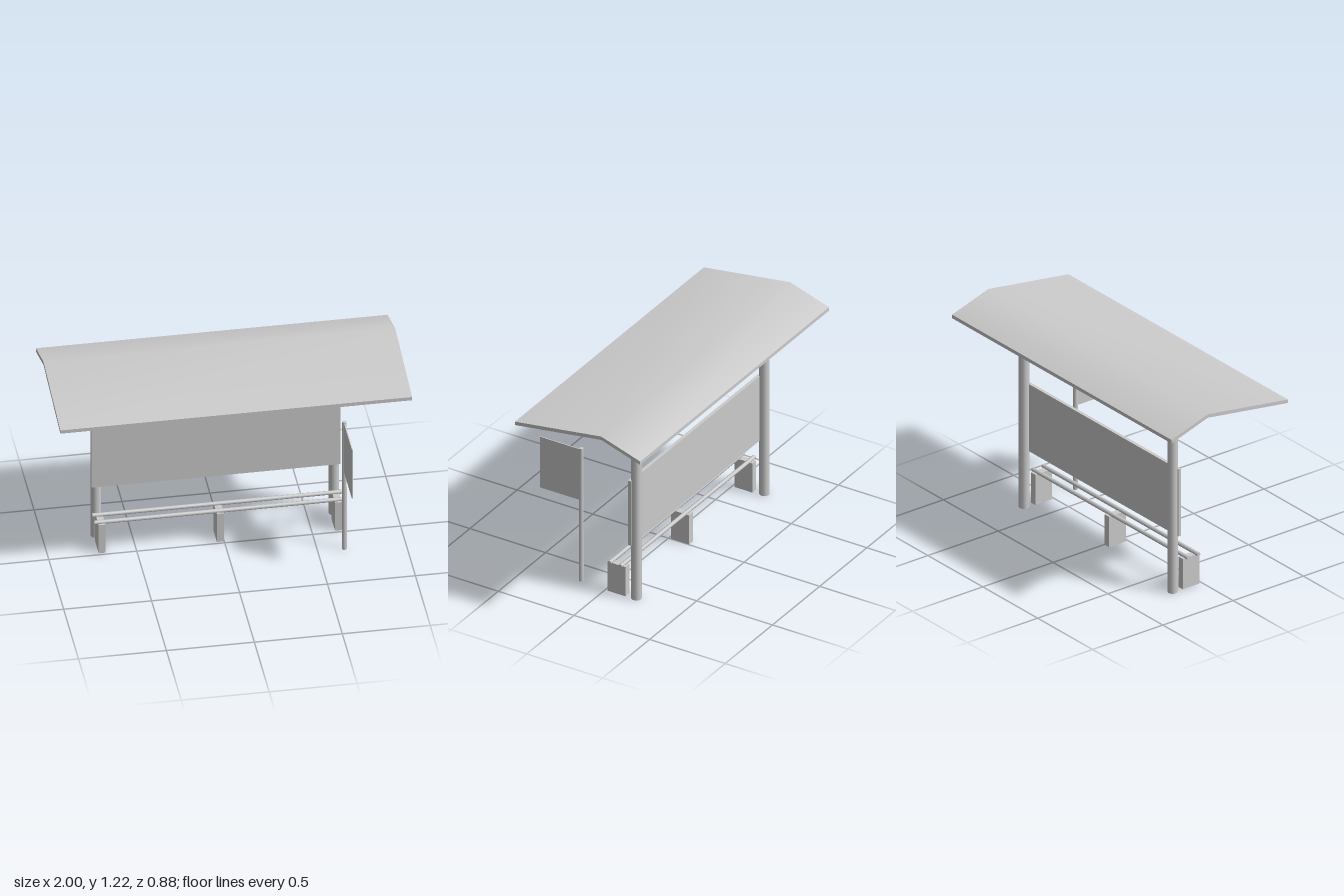
import * as THREE from 'three';

const material = new THREE.MeshStandardMaterial({ color: 0xcccccc, side: THREE.DoubleSide });

export function createModel() {
  const model = new THREE.Group();

  const add = (name, geometry, x, y, z) => {
    const mesh = new THREE.Mesh(geometry, material);
    mesh.name = name;
    mesh.position.set(x, y, z);
    model.add(mesh);
    return mesh;
  };

  // Bent roof slab: a box with one extra row, raised at the ridge
  const roof = new THREE.BoxGeometry(2, 0.022, 0.83, 1, 1, 2);
  const p = roof.attributes.position;
  for (let i = 0; i < p.count; i++) {
    const z = p.getZ(i), ridge = Math.abs(z) < 0.01;
    p.setZ(i, ridge ? -0.18 : z > 0 ? 0.39 : -0.438);
    p.setY(i, p.getY(i) + (ridge ? 1.211 : 1.129));
  }
  roof.computeVertexNormals(); // soft across the ridge, sharp at the edges
  add('roof', roof, 0, 0, 0);

  // Two rear posts, open at the ends
  for (const x of [-0.701, 0.653]) {
    add('roofPost', new THREE.CylinderGeometry(0.03, 0.03, 1.197, 10, 1, true), x, 0.5985, -0.197);
  }

  // Back panel in front of the posts
  add('backPanel', new THREE.BoxGeometry(1.414, 0.42, 0.02), -0.023, 0.56, -0.169);

  // Bench supports: boxes without a bottom face
  for (const x of [-0.694, -0.022, 0.65]) {
    const box = new THREE.BoxGeometry(0.04, 0.19, 0.12);
    const index = Array.from(box.index.array);
    index.splice(18, 6);
    box.setIndex(index);
    box.clearGroups();
    add('benchSupport', box, x, 0.095, -0.075);
  }

  // Bench rails
  for (const z of [-0.037, -0.11]) {
    const rail = new THREE.CylinderGeometry(0.012, 0.012, 1.42, 8);
    add('benchRail', rail, -0.025, 0.196, z).rotation.z = Math.PI / 2;
  }

  // Stop sign pole with its plate
  add('signPole', new THREE.CylinderGeometry(0.0125, 0.0145, 0.862, 8), 0.652, 0.431, 0.168);
  add('signPlate', new THREE.BoxGeometry(0.006, 0.33, 0.27), 0.652, 0.688, 0.304);

  return model;
}
